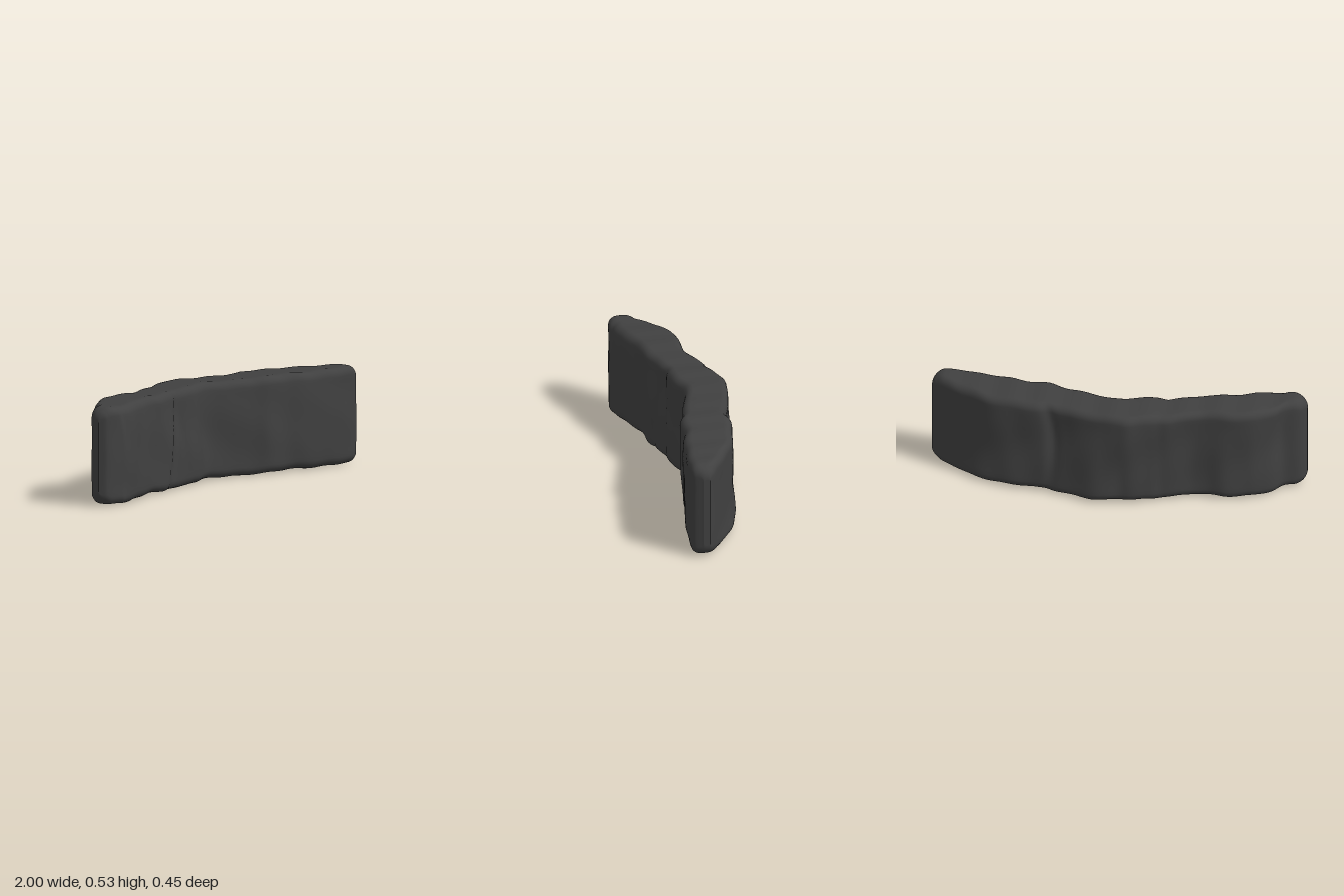
import * as THREE from 'three';

// Plan outline of the slab as [x, back z, front z]
const plan = [
  [-1, 0.125, 0.155], [-0.97, 0.08, 0.19], [-0.88, 0.04, 0.212], [-0.84, -0.01, 0.207],
  [-0.78, -0.05, 0.197], [-0.72, -0.08, 0.18], [-0.6, -0.108, 0.14], [-0.5, -0.1, 0.12],
  [-0.42, -0.105, 0.115], [-0.3, -0.15, 0.08], [-0.25, -0.165, 0.062], [-0.2, -0.18, 0.067],
  [-0.1, -0.21, 0.055], [-0.03, -0.218, 0.022], [0.03, -0.218, 0.022], [0.1, -0.21, 0.04],
  [0.2, -0.178, 0.07], [0.3, -0.145, 0.1], [0.37, -0.138, 0.13], [0.5, -0.122, 0.14],
  [0.6, -0.1, 0.17], [0.7, -0.068, 0.19], [0.8, -0.01, 0.205], [0.9, 0.05, 0.215],
  [0.97, 0.095, 0.207], [1, 0.125, 0.16],
];

// Smooth interpolation of one outline column
function sample(x, col) {
  const last = plan.length - 1;
  let i = 0;
  while (i < last - 1 && plan[i + 1][0] < x) i++;
  const a = plan[i], b = plan[i + 1], w = b[0] - a[0];
  const t = THREE.MathUtils.clamp((x - a[0]) / w, 0, 1);
  const slope = (k) => {
    const p = plan[Math.max(k - 1, 0)], q = plan[Math.min(k + 1, last)];
    return (q[col] - p[col]) / (q[0] - p[0]);
  };
  const t2 = t * t, t3 = t2 * t;
  return (2 * t3 - 3 * t2 + 1) * a[col] + (3 * t2 - 2 * t3) * b[col]
    + (t3 - 2 * t2 + t) * w * slope(i) + (t3 - t2) * w * slope(i + 1);
}

// Rounded rectangle ring in (z, y), counter-clockwise, with points along its sides
function ring(hz, hy, r) {
  const corners = [[1, 1], [-1, 1], [-1, -1], [1, -1]];
  const arcs = corners.map(([sz, sy], k) => Array.from({ length: 6 }, (_, j) => {
    const a = (k + j / 5) * Math.PI / 2;
    return [sz * (hz - r) + r * Math.cos(a), sy * (hy - r) + r * Math.sin(a)];
  }));
  const points = [];
  arcs.forEach((arc, k) => {
    points.push(...arc);
    const p = arc[5], q = arcs[(k + 1) % 4][0], n = k % 2 ? 18 : 4;
    for (let j = 1; j < n; j++) {
      points.push([p[0] + (q[0] - p[0]) * j / n, p[1] + (q[1] - p[1]) * j / n]);
    }
  });
  return points;
}

const bell = (d, w) => Math.exp(-(d * d) / (w * w));

function slabGeometry() {
  const stations = 160, midY = 0.268, endRadius = 0.07;
  const xs = [];
  for (let i = 0; i <= stations; i++) xs.push(Math.sin((i / stations - 0.5) * Math.PI));
  const positions = [], index = [];

  const addRing = (x, scale) => {
    const back = sample(x, 1), front = sample(x, 2);
    const hz = (front - back) / 2;
    const inset = Math.max(endRadius - (1 - Math.abs(x)), 0);
    const hy = 0.26 - endRadius + Math.sqrt(endRadius ** 2 - inset ** 2);
    const fade = Math.min((1 - Math.abs(x)) * 8, 1);
    for (const [pz, py] of ring(hz, hy, Math.min(0.045, hz * 0.8))) {
      const side = pz / hz, v = py / hy, y = midY + py * scale;
      // Outline features lean with height, so ridges are not quite vertical
      const lean = x + fade * (0.03 * v + 0.02 * Math.sin(2.5 * v + 3 * x));
      let z = (sample(lean, 1) + sample(lean, 2)) / 2 + pz * scale;
      // Hand-worked lumps
      z += fade * 0.004 * Math.sin(19 * x + 7 * y) * Math.sin(14 * y - 9 * x + side);
      // Slanting creases on the front and back faces
      if (side > 0) z -= side * 0.014 * bell(x + 0.32 - 0.05 * v, 0.025);
      else z -= side * 0.014 * bell(x - 0.32 - 0.04 * v * v, 0.03);
      const lump = 0.005 * fade * v * Math.sin(23 * x + 2 * v) * Math.sin(11 * x + 1);
      positions.push(x, y + lump * scale, z);
    }
  };

  // Collapsed first and last rings close the ends
  addRing(-1, 0);
  xs.forEach((x) => addRing(x, 1));
  addRing(1, 0);

  const rows = xs.length + 2, n = positions.length / 3 / rows;
  for (let i = 0; i < rows - 1; i++) {
    for (let j = 0; j < n; j++) {
      const a = i * n + j, b = i * n + (j + 1) % n;
      index.push(a, a + n, b, b, a + n, b + n);
    }
  }
  const geometry = new THREE.BufferGeometry();
  geometry.setAttribute('position', new THREE.Float32BufferAttribute(positions, 3));
  geometry.setIndex(index);
  geometry.computeVertexNormals();
  return geometry;
}

export function createModel() {
  const group = new THREE.Group();
  group.name = 'curvedStoneSlab';
  const stone = new THREE.MeshStandardMaterial({ color: 0x404040 });
  stone.name = 'darkStone';
  const slab = new THREE.Mesh(slabGeometry(), stone);
  slab.name = 'slab';
  group.add(slab);
  return group;
}
